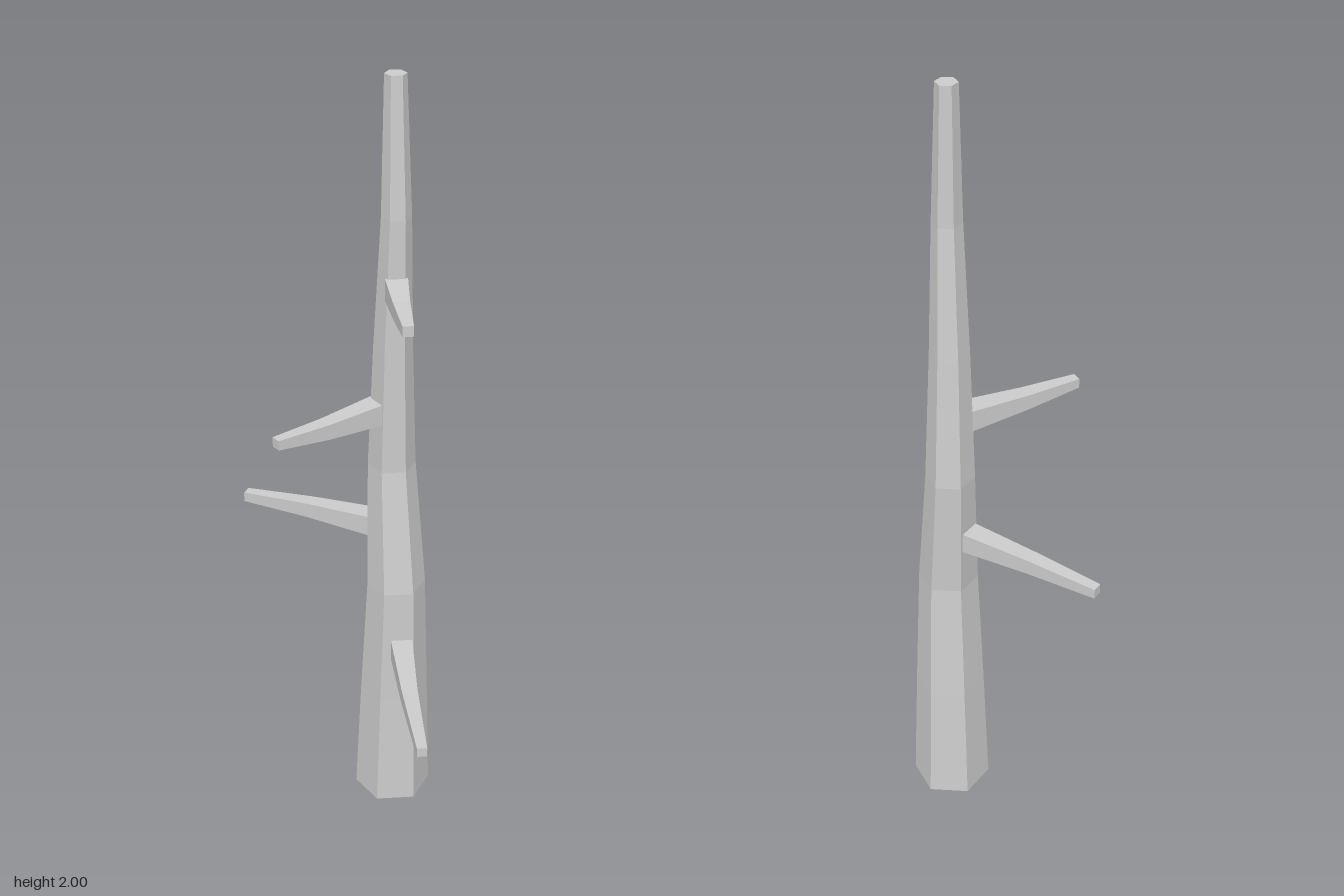
import * as THREE from 'three';

const material = new THREE.MeshStandardMaterial({ color: 0xcccccc, flatShading: true });

// Skin a list of equal-length rings (clockwise seen against the travel direction), with end caps
function loft(name, rings) {
  const pos = [];
  const tri = (...pts) => pts.forEach((p) => pos.push(p.x, p.y, p.z));
  const n = rings[0].length;
  for (let i = 0; i < rings.length - 1; i++) {
    const a = rings[i], b = rings[i + 1];
    for (let j = 0; j < n; j++) {
      const k = (j + 1) % n;
      tri(a[j], b[j], b[k]);
      tri(a[j], b[k], a[k]);
    }
  }
  const first = rings[0], last = rings[rings.length - 1];
  for (let j = 1; j < n - 1; j++) {
    tri(first[0], first[j], first[j + 1]);
    tri(last[0], last[j + 1], last[j]);
  }
  const geometry = new THREE.BufferGeometry();
  geometry.setAttribute('position', new THREE.Float32BufferAttribute(pos, 3));
  geometry.computeVertexNormals();
  const mesh = new THREE.Mesh(geometry, material);
  mesh.name = name;
  return mesh;
}

// Horizontal hexagon, slightly turned
function hexagon([x, y, z, r]) {
  return Array.from({ length: 6 }, (_, i) => {
    const a = THREE.MathUtils.degToRad(9 + 60 * i);
    return new THREE.Vector3(x + r * Math.sin(a), y, z - r * Math.cos(a));
  });
}

// Square-section tapering branch through [x, y, z, width] stations
function branch(name, stations) {
  const pts = stations.map(([x, y, z]) => new THREE.Vector3(x, y, z));
  const up = new THREE.Vector3(0, 1, 0);
  const rings = stations.map(([, , , w], i) => {
    const dir = pts[Math.min(i + 1, pts.length - 1)].clone().sub(pts[Math.max(i - 1, 0)]);
    const side = dir.setY(0).normalize().cross(up);
    return [[-1, -1], [-1, 1], [1, 1], [1, -1]].map(([u, s]) =>
      pts[i].clone().addScaledVector(up, u * w / 2).addScaledVector(side, s * w / 2));
  });
  return loft(name, rings);
}

export function createModel() {
  const group = new THREE.Group();
  group.name = 'bareTree';

  // Crooked tapering trunk: x, y, z, radius
  group.add(loft('trunk', [
    [0.124, 0, -0.012, 0.1],
    [0.12, 0.333, -0.005, 0.088],
    [0.114, 0.667, 0.005, 0.0745],
    [0.126, 1, -0.028, 0.06],
    [0.115, 1.333, -0.016, 0.048],
    [0.106, 1.667, 0, 0.036],
    [0.108, 2, -0.009, 0.026],
  ].map(hexagon)));

  // Four dead branches, from lowest to highest
  group.add(
    branch('lowestBranch', [
      [0.085, 0.497, 0.055, 0.056], [-0.045, 0.494, 0.215, 0.04], [-0.183, 0.499, 0.395, 0.025]]),
    branch('backBranch', [
      [0.1, 0.823, -0.06, 0.055], [0.03, 0.823, -0.23, 0.04], [-0.041, 0.816, -0.4, 0.026]]),
    branch('sideBranch', [
      [0.08, 1.161, -0.034, 0.056], [-0.075, 1.161, -0.052, 0.04], [-0.217, 1.168, -0.07, 0.025]]),
    branch('highestBranch', [
      [0.09, 1.497, 0.018, 0.054], [0.025, 1.492, 0.1, 0.04], [-0.048, 1.494, 0.195, 0.026]]),
  );
  return group;
}
